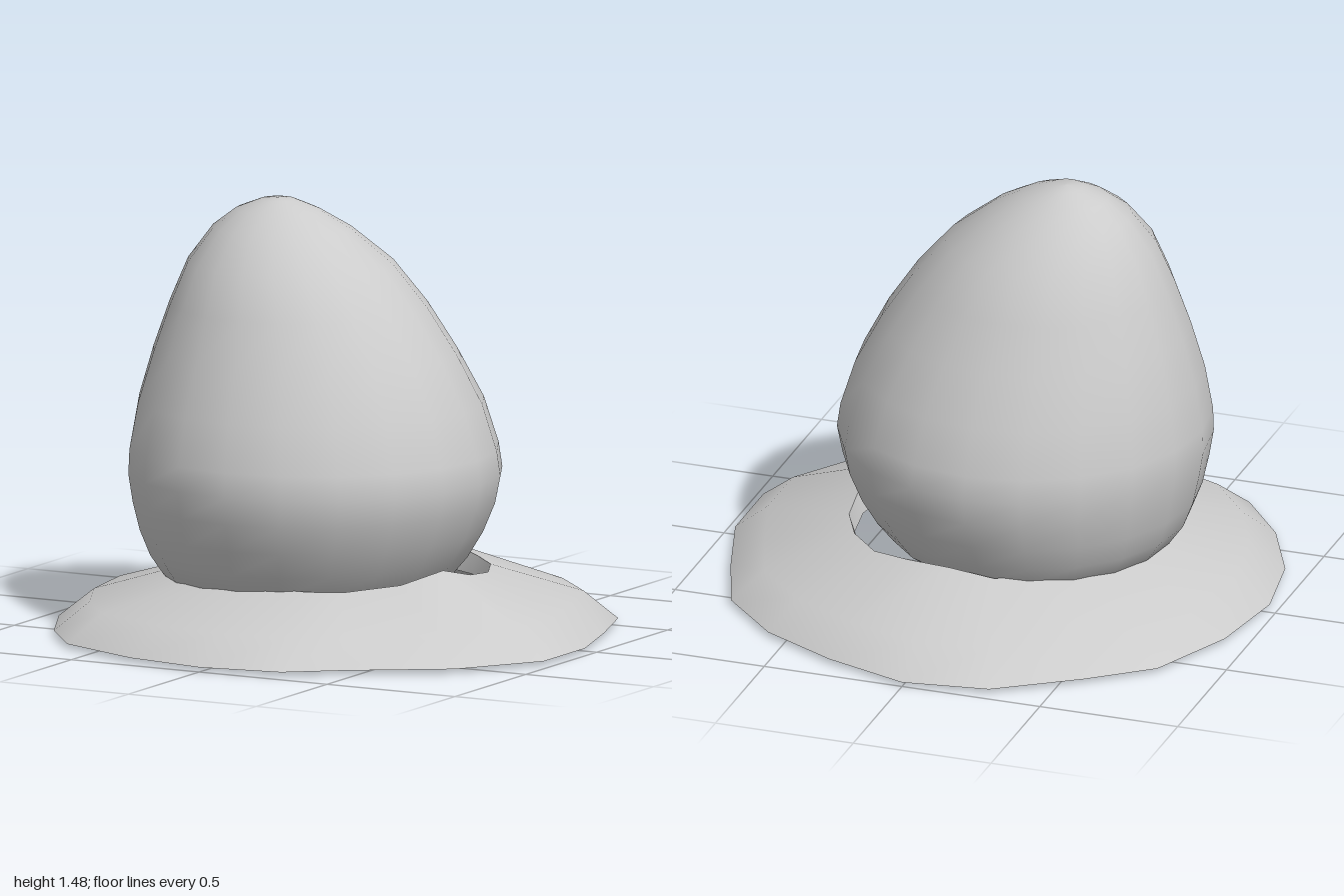
import * as THREE from 'three';

const SIDES = 20;
const material = new THREE.MeshStandardMaterial({ color: 0xcccccc, side: THREE.DoubleSide });

// Skins a stack of closed rings (each SIDES points) with smooth normals.
function loft(name, rings) {
  const position = rings.flat(2);
  const index = [];
  for (let r = 0; r < rings.length - 1; r++) {
    for (let i = 0; i < SIDES; i++) {
      const j = (i + 1) % SIDES;
      const a = r * SIDES + i, b = r * SIDES + j;
      index.push(a, a + SIDES, b, b, a + SIDES, b + SIDES);
    }
  }
  const geometry = new THREE.BufferGeometry();
  geometry.setAttribute('position', new THREE.Float32BufferAttribute(position, 3));
  geometry.setIndex(index);
  geometry.computeVertexNormals();
  const mesh = new THREE.Mesh(geometry, material);
  mesh.name = name;
  return mesh;
}

function ellipse(y, cx, cz, rx, rz) {
  return Array.from({ length: SIDES }, (_, i) => {
    const a = (i / SIDES) * Math.PI * 2;
    return [cx + Math.sin(a) * rx, y, cz - Math.cos(a) * rz];
  });
}

// Leaning egg: height, centre x, radius x, radius z
const EGG = [
  [0, -0.16, 0.001, 0.001], [0.01, -0.155, 0.11, 0.11], [0.04, -0.14, 0.24, 0.25],
  [0.1, -0.125, 0.38, 0.39], [0.19, -0.11, 0.495, 0.505], [0.26, -0.105, 0.55, 0.55],
  [0.35, -0.095, 0.595, 0.595], [0.45, -0.085, 0.627, 0.63], [0.545, -0.083, 0.645, 0.643],
  [0.63, -0.088, 0.638, 0.632], [0.79, -0.1, 0.6, 0.585], [0.96, -0.122, 0.533, 0.5],
  [1.12, -0.148, 0.452, 0.425], [1.265, -0.18, 0.36, 0.34], [1.38, -0.212, 0.245, 0.22],
  [1.44, -0.227, 0.152, 0.13], [1.475, -0.23, 0.06, 0.06], [1.48, -0.23, 0.001, 0.001],
];

// Uneven outline of the brim: x, z
const RIM = [
  [0, -1], [0.3, -0.9], [0.57, -0.76], [0.78, -0.55], [0.88, -0.27],
  [0.97, 0.03], [0.97, 0.32], [0.78, 0.6], [0.46, 0.81], [0.29, 0.945],
  [0, 0.995], [-0.3, 0.945], [-0.62, 0.81], [-0.79, 0.6], [-0.92, 0.33],
  [-0.97, 0.03], [-0.92, -0.29], [-0.785, -0.6], [-0.58, -0.765], [-0.3, -0.955],
];

export function createModel() {
  const group = new THREE.Group();
  group.name = 'eggOnBrim';

  group.add(loft('egg', EGG.map(([y, cx, rx, rz]) => ellipse(y, cx, 0.03, rx, rz))));

  // Brim: sloping top with a shoulder, shallow underside and a low wall round the hole
  const outer = RIM.map(([x, z]) => [x, 0.015, z]);
  const shoulder = RIM.map(([x, z]) => [x * 0.875, 0.113, z * 0.875]);
  const holeHeights = { 0: 0.24, 1: 0.235, 5: 0.23, 6: 0.265, 7: 0.23 };
  const holeTop = RIM.map(([x, z], i) => {
    const s = 0.515 / Math.hypot(x, z);
    return [x * s, holeHeights[i] ?? 0.212, z * s];
  });
  const holeBottom = ellipse(0.15, 0, 0, 0.495, 0.495);

  const brim = new THREE.Group();
  brim.name = 'brim';
  brim.add(
    loft('brimTop', [outer, shoulder, holeTop]),
    loft('brimUnderside', [holeBottom, outer]),
    loft('holeWall', [holeTop, holeBottom]),
  );
  group.add(brim);
  return group;
}
